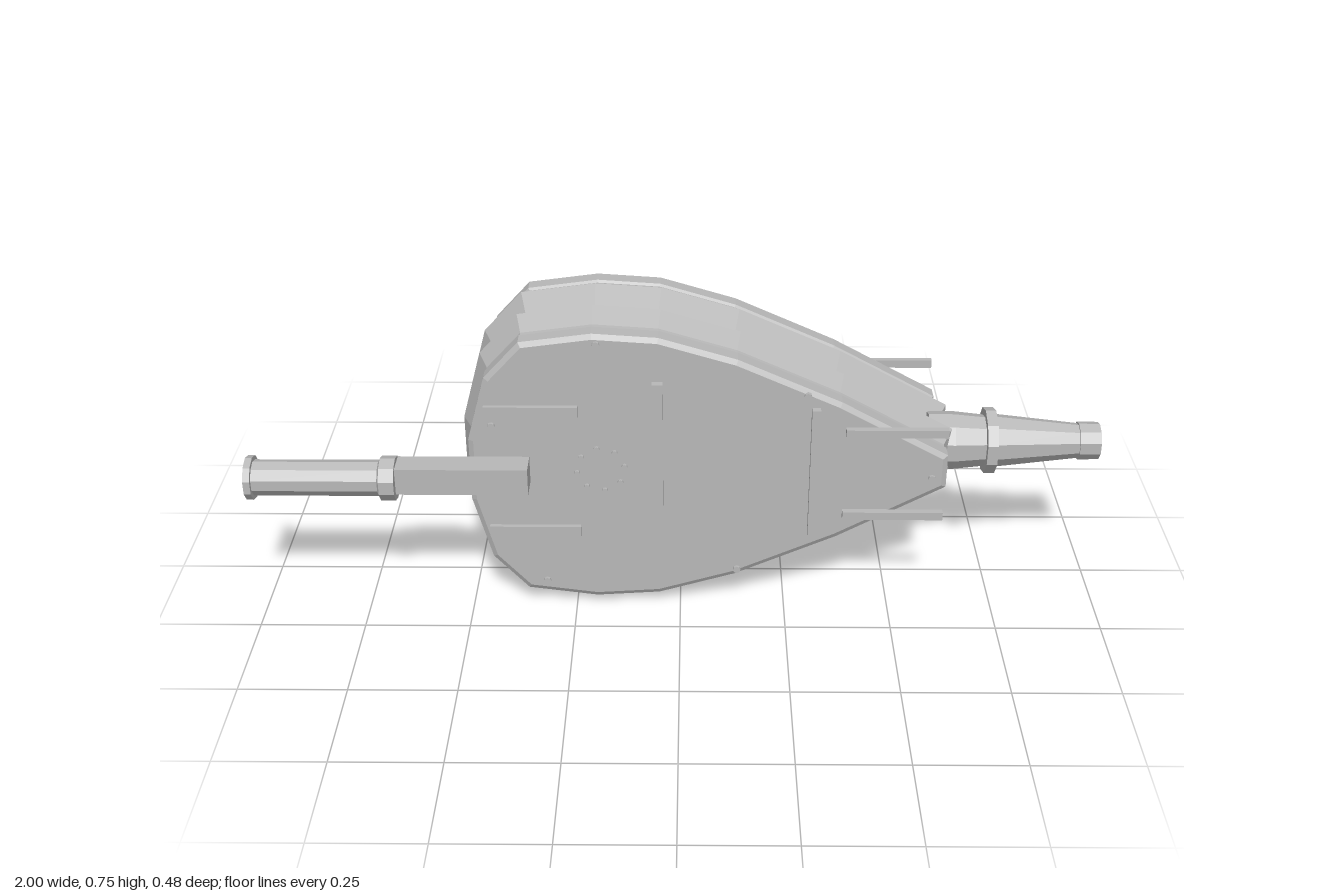
import * as THREE from 'three';

const MID = 0.375; // height of the long axis

// Half outline of the boards, from the nozzle end to the wide end
const half = [[0.62, 0.042], [0.37, 0.18], [0.13, 0.288], [-0.05, 0.342],
  [-0.2, 0.352], [-0.365, 0.33], [-0.447, 0.24], [-0.49, 0.08]];
const outline = [...half, ...half.map(([x, y]) => [x, -y]).reverse()]
  .map(([x, y]) => new THREE.Vector2(x, y));

// Outline moved outward by d with mitred corners
function offset(d) {
  const n = outline.length;
  return outline.map((p, i) => {
    const a = p.clone().sub(outline[(i + n - 1) % n]).normalize();
    const b = outline[(i + 1) % n].clone().sub(p).normalize();
    const na = new THREE.Vector2(a.y, -a.x), nb = new THREE.Vector2(b.y, -b.x);
    const m = na.clone().add(nb).normalize();
    return p.clone().addScaledVector(m, d / m.dot(na));
  });
}

// Solid through rings given as [z, offset], back to front
function loft(rings) {
  const pos = [], idx = [], n = outline.length;
  for (const [z, d] of rings) for (const p of offset(d)) pos.push(p.x, p.y + MID, z);
  for (let k = 0; k < rings.length - 1; k++) {
    for (let i = 0; i < n; i++) {
      const a = k * n + i, b = k * n + (i + 1) % n;
      idx.push(a, b, b + n, a, b + n, a + n);
    }
  }
  const back = pos.length / 3, last = (rings.length - 1) * n;
  pos.push(0, MID, rings[0][0], 0, MID, rings[rings.length - 1][0]);
  for (let i = 0; i < n; i++) {
    const j = (i + 1) % n;
    idx.push(back, j, i, back + 1, last + i, last + j);
  }
  const g = new THREE.BufferGeometry();
  g.setAttribute('position', new THREE.Float32BufferAttribute(pos, 3));
  g.setIndex(idx);
  const flat = g.toNonIndexed();
  flat.computeVertexNormals();
  return flat;
}

// Ten-sided turned part along x, from [x, radius] pairs
function turned(profile) {
  const pts = profile.map(([x, r]) => new THREE.Vector2(r, x));
  return new THREE.LatheGeometry(pts, 10, Math.PI / 2).rotateZ(-Math.PI / 2);
}

export function createModel() {
  const group = new THREE.Group();
  const grey = new THREE.MeshStandardMaterial({ color: 0xb8b8b8, flatShading: true });
  grey.name = 'plainGrey';

  const add = (name, geo, x = 0, y = 0, z = 0) => {
    const m = new THREE.Mesh(geo, grey);
    m.name = name;
    m.position.set(x, y, z);
    group.add(m);
    return m;
  };
  const box = (name, x0, x1, y0, y1, z0, z1) =>
    add(name, new THREE.BoxGeometry(x1 - x0, y1 - y0, z1 - z0),
      (x0 + x1) / 2, (y0 + y1) / 2, (z0 + z1) / 2);

  // Bevelled boards and the pleated bag between them
  const board = (z0, z1) => loft([[z0, -0.012], [z0 + 0.007, 0], [z1 - 0.007, 0], [z1, -0.012]]);
  add('frontBoard', board(0.105, 0.155));
  add('backBoard', board(-0.187, -0.137));
  add('bellowsBag', loft([[-0.14, -0.006], [-0.128, -0.004], [-0.077, 0.021],
    [-0.017, -0.008], [0.043, 0.021], [0.094, -0.003], [0.108, -0.004]]));

  // Nozzle with collar and bored tip
  add('nozzle', turned([[0.58, 0], [0.59, 0.07], [0.65, 0.07], [0.725, 0.062], [0.725, 0.08],
    [0.75, 0.08], [0.75, 0.064], [0.95, 0.042], [0.95, 0.046], [1, 0.045],
    [1, 0.02], [0.92, 0.02], [0.92, 0]]), 0, MID, 0);

  // Handle arm and turned grip
  box('handleArm', -0.66, -0.35, 0.347, 0.413, 0.155, 0.218);
  add('handleGrip', turned([[-1, 0], [-1, 0.052], [-0.984, 0.052], [-0.984, 0.042],
    [-0.695, 0.042], [-0.69, 0.052], [-0.655, 0.052], [-0.655, 0]]), 0, 0.376, 0.191);

  // Cross battens on the front board
  box('wideBatten', -0.065, -0.04, 0.145, 0.61, 0.15, 0.172);
  box('narrowBatten', 0.3, 0.32, 0.21, 0.545, 0.15, 0.172);

  // Mirrored straps, side rods and rear feet
  for (const s of [1, -1]) {
    const pair = (name, x0, x1, dy, h, z0, z1) =>
      box(name, x0, x1, MID + s * dy - h / 2, MID + s * dy + h / 2, z0, z1);
    pair('strap', -0.45, -0.235, 0.16, 0.026, 0.15, 0.166);
    pair('frontRod', 0.38, 0.615, 0.11, 0.02, 0.156, 0.172);
    pair('backRod', 0.38, 0.615, 0.11, 0.02, -0.197, -0.183);
    pair('foot', -0.33, -0.1, 0.196, 0.08, -0.242, -0.18);
  }

  // Edge studs and the ring of studs round the air valve
  const stud = (name, x, y, r) =>
    add(name, new THREE.CylinderGeometry(r, r, 0.01, 8).rotateX(Math.PI / 2), x, y, 0.157);
  for (const [x, y] of [[-0.19, 0.703], [-0.434, 0.495], [0.29, 0.575],
    [0.585, 0.36], [-0.32, 0.071], [0.135, 0.106]]) stud('edgeStud', x, y, 0.009);
  for (let i = 0; i < 8; i++) {
    const a = (i + 0.2) * Math.PI / 4;
    stud('valveStud', -0.185 + 0.056 * Math.cos(a), 0.38 + 0.056 * Math.sin(a), 0.007);
  }
  return group;
}
